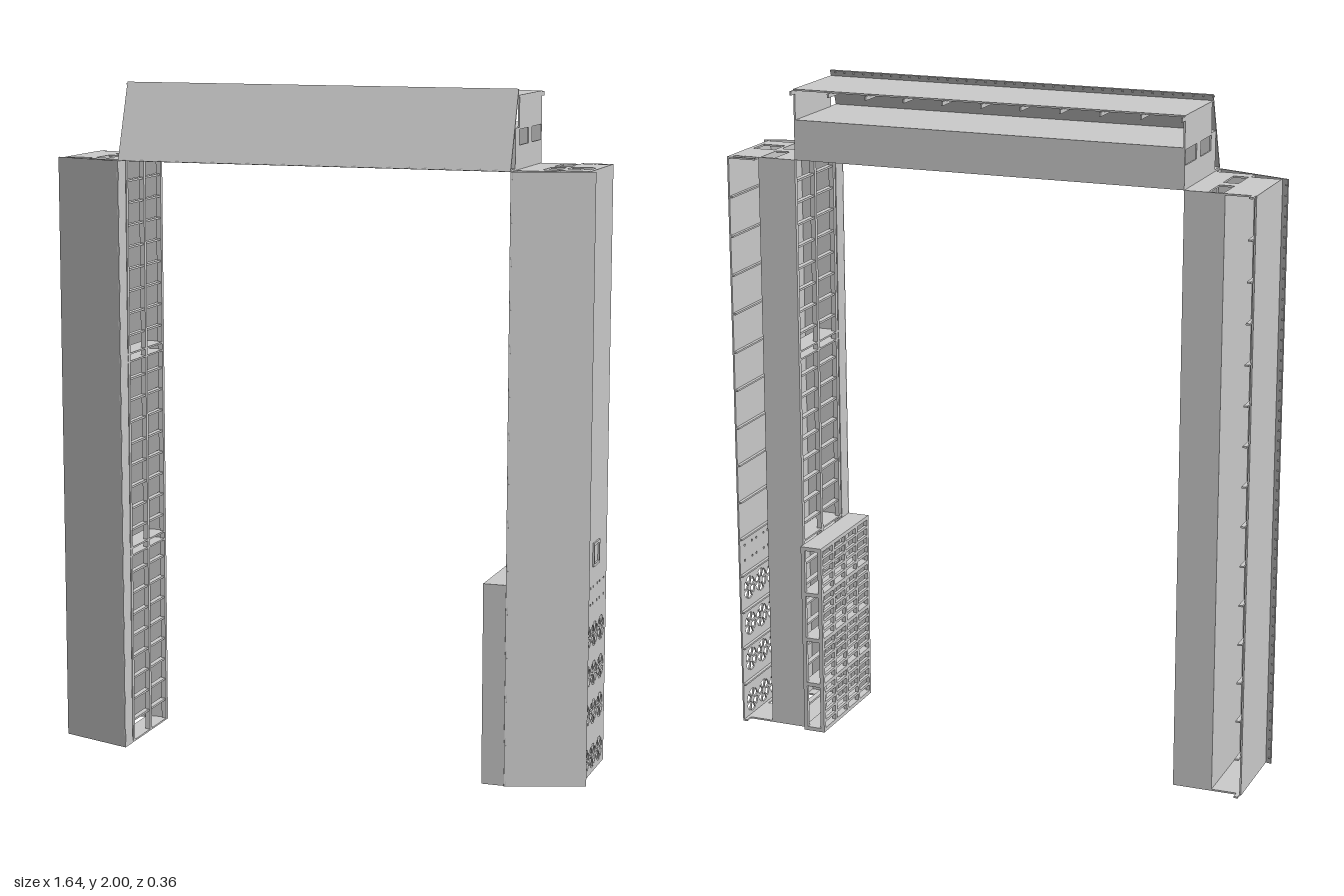
import * as THREE from 'three';

const material = new THREE.MeshStandardMaterial({ color: 0xcccccc, flatShading: true, side: THREE.DoubleSide });
const T = 0.005; // sheet thickness

function add(parent, name, geometry) {
  const mesh = new THREE.Mesh(geometry, material);
  mesh.name = name;
  parent.add(mesh);
  return mesh;
}

// box given by its limits on each axis
function box(parent, name, x0, x1, y0, y1, z0, z1) {
  const mesh = add(parent, name, new THREE.BoxGeometry(x1 - x0, y1 - y0, z1 - z0));
  mesh.position.set((x0 + x1) / 2, (y0 + y1) / 2, (z0 + z1) / 2);
  return mesh;
}

function polygon(points, Type = THREE.Shape) {
  return new Type(points.map(([x, y]) => new THREE.Vector2(x, y)));
}

function rectangle(x0, x1, y0, y1, Type) {
  return polygon([[x0, y0], [x1, y0], [x1, y1], [x0, y1]], Type);
}

const extrude = (shape) =>
  new THREE.ExtrudeGeometry(shape, { depth: T, bevelEnabled: false, curveSegments: 8 });

// stepped end plate with cable windows
function endCap(parent, y, extraWindow) {
  const shape = polygon([[0, -0.155], [0.207, -0.155], [0.207, 0.09], [0.115, 0.09], [0.115, 0.13], [0, 0.13]]);
  shape.holes.push(rectangle(0.068, 0.112, -0.147, -0.047, THREE.Path));
  shape.holes.push(rectangle(0.068, 0.112, -0.01, 0.087, THREE.Path));
  if (extraWindow) shape.holes.push(rectangle(0.124, 0.194, -0.035, 0.035, THREE.Path));
  add(parent, 'endCap', extrude(shape).rotateX(Math.PI / 2)).position.y = y;
}

// outer sheet with fan openings cut as rings of sectors
function fanSheet(parent, length) {
  const shape = rectangle(-0.1, 0.178, 0, length);
  for (const z of [0.037, -0.041, -0.12]) {
    for (const y of [0.05, 0.185, 0.302, 0.42]) {
      for (let k = 0; k < 6; k++) {
        const a = (k * Math.PI) / 3, b = a + 0.8;
        const hole = new THREE.Path();
        hole.absarc(-z, y, 0.036, a, b, false);
        hole.absarc(-z, y, 0.011, b, a, true);
        hole.closePath();
        shape.holes.push(hole);
      }
    }
    // screw holes of the blank fan positions
    for (let k = 0; k < 4; k++) {
      const a = Math.PI / 4 + (k * Math.PI) / 2;
      const hole = new THREE.Path();
      hole.absarc(-z + 0.035 * Math.cos(a), 0.54 + 0.035 * Math.sin(a), 0.004, 0, Math.PI * 2, false);
      shape.holes.push(hole);
    }
  }
  add(parent, 'fanSheet', extrude(shape).rotateY(Math.PI / 2)).position.x = 0.203;
}

// One truss: runs along y, opens towards x = 0, outer skin at x = 0.205
function truss(name, length, bays, ribCount, withFans) {
  const g = new THREE.Group();
  g.name = name;

  // slanted front panel with its return flange and toothed rear edge
  const panel = add(g, 'frontPanel', new THREE.BoxGeometry(Math.hypot(0.225, 0.078), length, T));
  panel.position.set(0.1125, length / 2, 0.138);
  panel.rotation.y = Math.atan2(0.078, 0.225);
  box(g, 'frontFlange', 0, T, 0, length, 0.125, 0.178);
  for (let y = 0.015; y < length; y += 0.03) {
    box(g, 'edgeTooth', 0.217, 0.222, y, y + 0.004, 0.093, 0.102);
  }

  // duct walls, open on the inner face
  box(g, 'ductBack', 0, 0.115, 0, length, -0.155, -0.155 + T);
  box(g, 'ductOuterWall', 0.113, 0.113 + T, 0, length, -0.155, 0.13);
  box(g, 'ductFront', 0, 0.115, 0, length, 0.125, 0.13);

  // inner frame: posts, bay shelves and fine rungs
  for (const z of [0.113, -0.018, -0.148]) box(g, 'innerPost', 0, 0.015, 0, length, z - 0.007, z + 0.007);
  const bay = length / bays, rungs = 9;
  for (let b = 0; b < bays; b++) {
    if (b) {
      for (const d of [-0.012, 0.012]) {
        box(g, 'bayShelf', 0, 0.065, b * bay + d - T / 2, b * bay + d + T / 2, -0.155, 0.125);
      }
    }
    for (let i = 1; i < rungs; i++) {
      const y = b * bay + (i * bay) / rungs;
      box(g, 'innerRung', 0.003, 0.02, y - 0.003, y + 0.003, -0.155, 0.125);
    }
  }

  // outer skin and the ribs behind it
  if (withFans) fanSheet(g, length);
  else box(g, 'outerSheet', 0.203, 0.203 + T, 0, length, -0.156, 0.1);
  for (let i = 0; i <= ribCount; i++) {
    const y = T / 2 + (i * (length - T)) / ribCount;
    box(g, 'skinRib', 0.193, 0.205, y - T / 2, y + T / 2, -0.18, 0.09);
  }

  endCap(g, length, withFans);
  endCap(g, T, withFans);
  return g;
}

// shallow equipment rack standing against the inside of the fan column
function rack() {
  const g = new THREE.Group();
  g.name = 'equipmentRack';
  const x0 = 0.525, x1 = 0.592, h = 0.595, z0 = -0.175, z1 = 0.175;
  box(g, 'rackFront', x0, x1, 0, h, z1 - T, z1);
  const rows = 4, columns = 4;
  for (let c = 0; c <= columns; c++) {
    const z = z0 + 0.006 + (c * (z1 - z0 - 0.012)) / columns;
    box(g, 'rackPost', x0, x0 + 0.012, 0, h, z - 0.006, z + 0.006);
  }
  box(g, 'rackRearPost', x1 - 0.012, x1, 0, h, z0, z0 + 0.012);
  for (let r = 0; r <= rows; r++) {
    const y = 0.006 + (r * (h - 0.012)) / rows;
    box(g, 'rackShelf', x0, x1, y - 0.006, y + 0.006, z0, z1);
    if (r === rows) break;
    for (let k = 1; k < 5; k++) {
      const yy = y + (k * (h - 0.012)) / rows / 5;
      box(g, 'rackBar', x0, x0 + 0.01, yy - 0.004, yy + 0.004, z0, z1);
    }
  }
  return g;
}

export function createModel() {
  const model = new THREE.Group();
  model.name = 'portalFrame';
  const half = 0.593, height = 1.775;

  const left = truss('leftColumn', height, 3, 15, true);
  left.position.x = half;

  const right = truss('rightColumn', height, 3, 15, false);
  right.rotation.z = Math.PI;
  right.position.set(-half, height, 0);

  const beam = truss('topBeam', half * 2, 2, 10, false);
  beam.rotation.z = Math.PI / 2;
  beam.position.set(half, height, 0);

  // square hatch frame on the fan column
  const hatch = new THREE.Group();
  hatch.name = 'hatchFrame';
  for (const s of [-1, 1]) {
    const y = 0.66 + s * 0.031, z = -0.04 + s * 0.031;
    box(hatch, 'hatchRail', 0.8, 0.806, y - 0.004, y + 0.004, -0.075, -0.005);
    box(hatch, 'hatchStile', 0.8, 0.806, 0.625, 0.695, z - 0.004, z + 0.004);
  }

  // rear bracket at the head of the fan column
  const bracket = new THREE.Group();
  bracket.name = 'rearBracket';
  box(bracket, 'bracketEdge', 0.71, 0.79, height - T, height, -0.18, -0.175);
  for (const x of [0.71, 0.755]) box(bracket, 'bracketArm', x, x + T, height - T, height, -0.18, -0.155);

  model.add(left, right, beam, rack(), hatch, bracket);
  return model;
}
